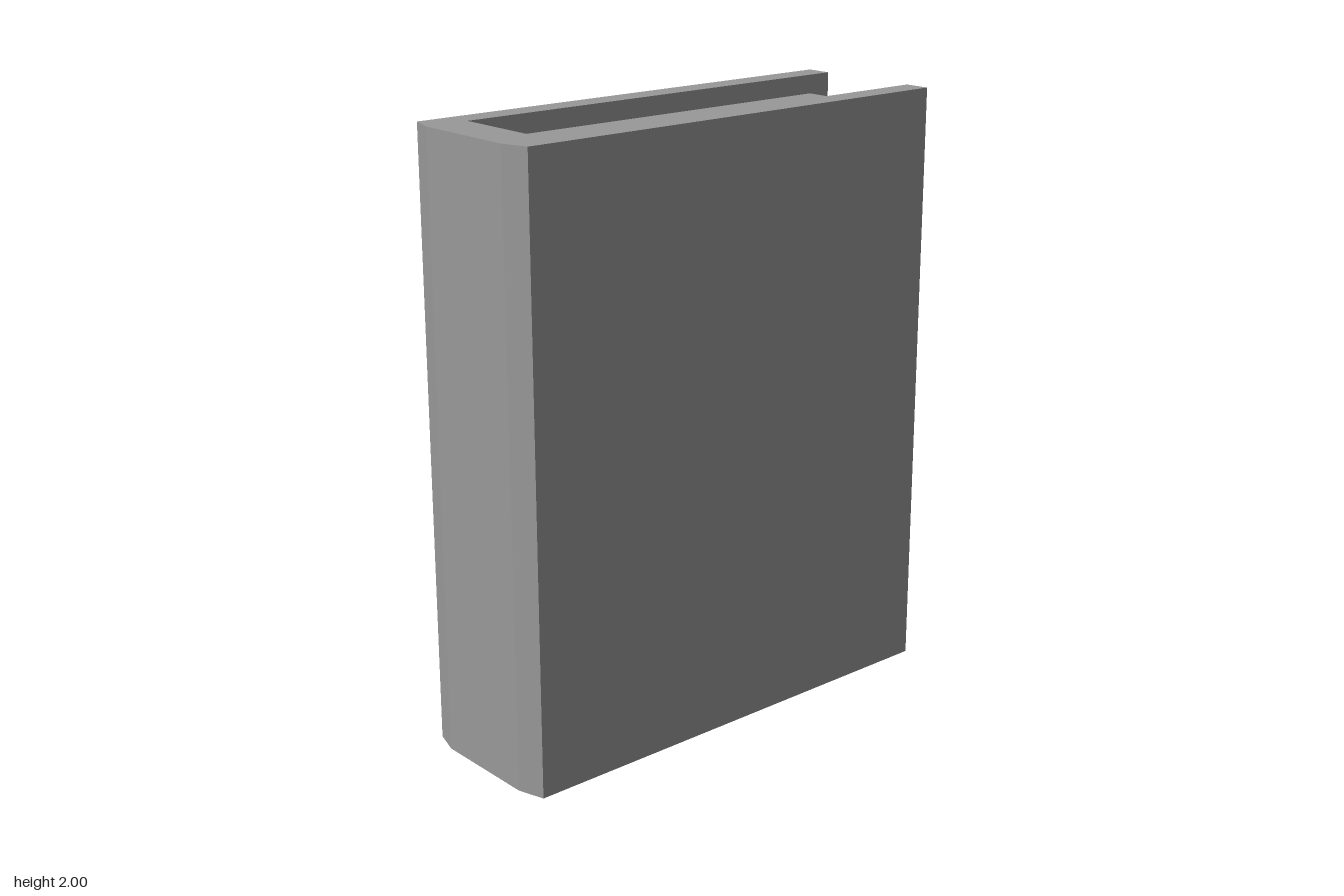
import * as THREE from 'three';

export function createModel() {
  const group = new THREE.Group();
  group.name = 'book';
  const grey = new THREE.MeshStandardMaterial({ color: 0x999999 });
  grey.name = 'grey';

  // Outer dimensions
  const height = 2, edge = 0.82, half = 0.27, inner = 0.182, spineInner = -0.675;

  // Cover: U-shaped section with a bevelled spine, extruded upwards
  const section = new THREE.Shape([
    [-edge, -inner], [-0.793, -half], [edge, -half], [edge, -inner],
    [spineInner, -inner], [spineInner, inner], [edge, inner],
    [edge, half], [-0.793, half], [-edge, inner],
  ].map(([x, z]) => new THREE.Vector2(x, z)));
  const coverGeometry = new THREE.ExtrudeGeometry(section, { depth: height, bevelEnabled: false });
  coverGeometry.rotateX(-Math.PI / 2);
  const cover = new THREE.Mesh(coverGeometry, grey);
  cover.name = 'cover';
  group.add(cover);

  // Page block, recessed on the three open sides
  const pageEnd = 0.735, bottom = 0.065, top = 1.937;
  const pages = new THREE.Mesh(
    new THREE.BoxGeometry(pageEnd - spineInner, top - bottom, inner * 2), grey);
  pages.position.set((pageEnd + spineInner) / 2, (top + bottom) / 2, 0);
  pages.name = 'pages';
  group.add(pages);

  return group;
}
